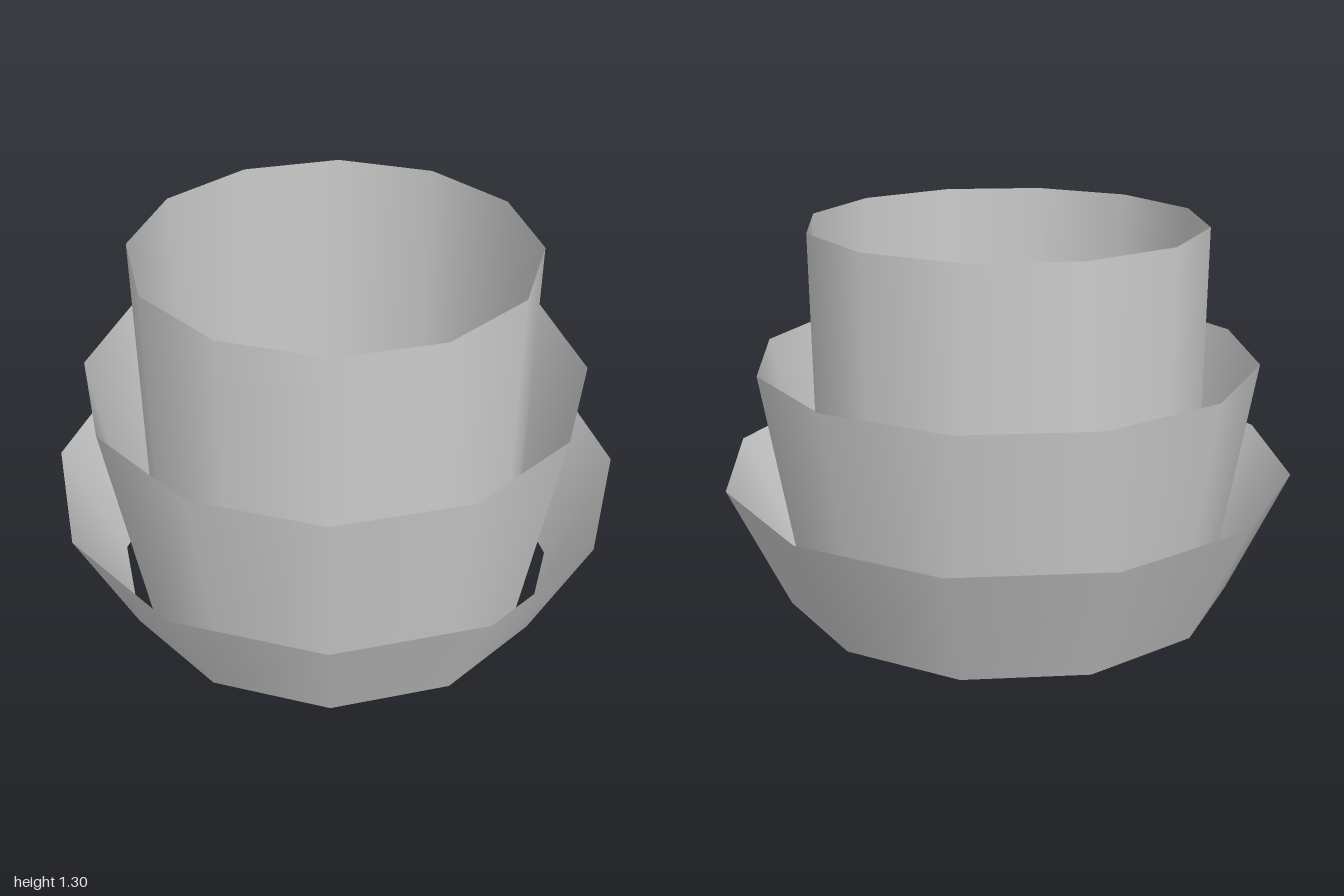
import * as THREE from 'three';

export function createModel() {
  const model = new THREE.Group();
  model.name = 'nestedRings';
  const grey = new THREE.MeshStandardMaterial({ color: 0xcccccc, side: THREE.DoubleSide });
  grey.name = 'light grey';

  // Open twelve-sided shells, all standing on the ground
  const shells = [
    { name: 'outerFlaredShell', top: 1.0, bottom: 0.8, height: 0.45 },
    { name: 'middleFlaredShell', top: 0.873, bottom: 0.742, height: 0.842 },
    { name: 'innerTube', top: 0.685, bottom: 0.685, height: 1.305 },
  ];
  for (const { name, top, bottom, height } of shells) {
    const geometry = new THREE.CylinderGeometry(top, bottom, height, 12, 1, true);
    geometry.translate(0, height / 2, 0);
    const shell = new THREE.Mesh(geometry, grey);
    shell.name = name;
    model.add(shell);
  }
  return model;
}
